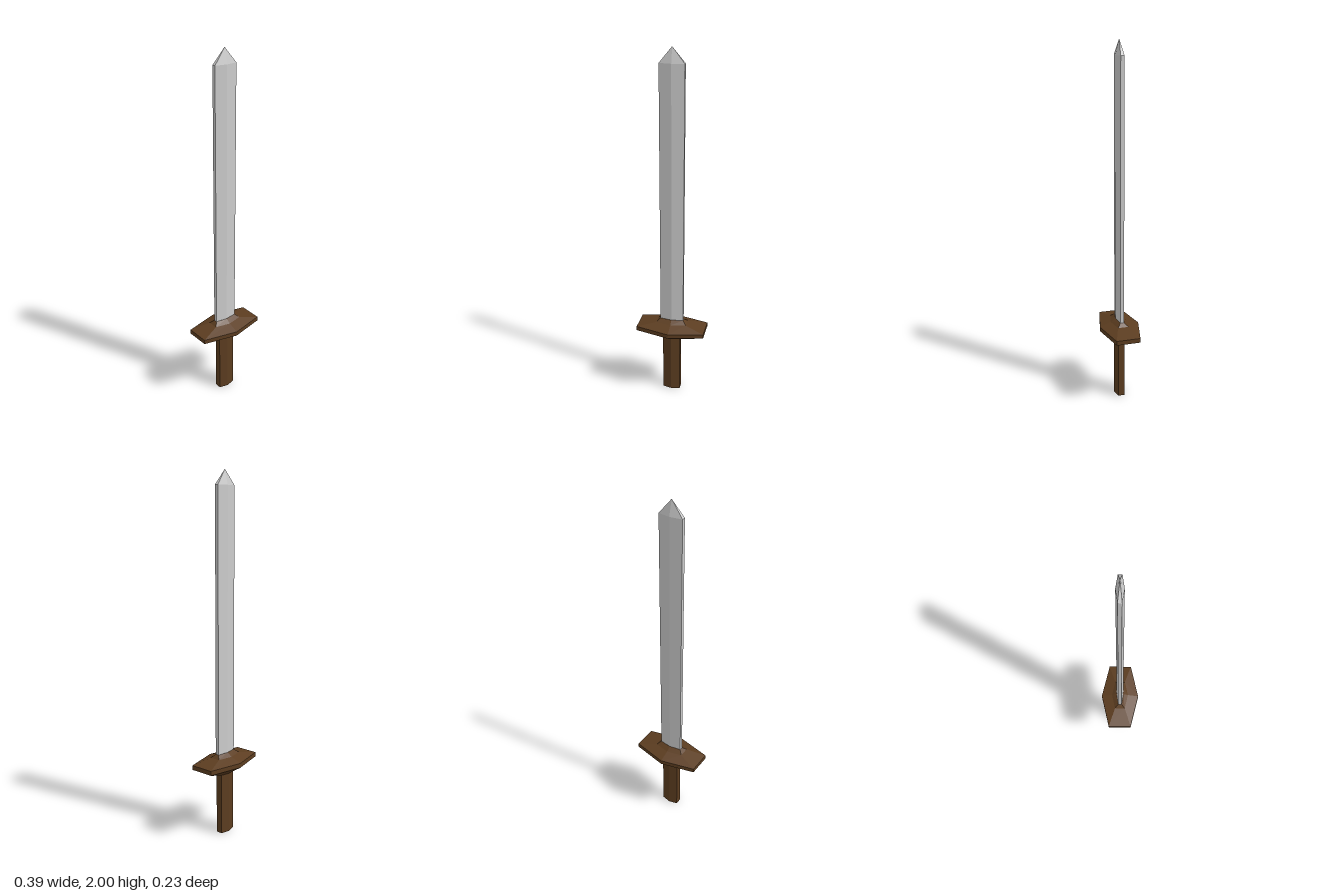
import * as THREE from 'three';

// Lofts six-sided rings, bottom to top: [y, half width, half depth at sides, half depth in middle]
function loftHex(name, rings, color) {
  const pos = [], idx = [], n = 6;
  for (const [y, w, s, m] of rings) {
    pos.push(w, y, -s, 0, y, -m, -w, y, -s, -w, y, s, 0, y, m, w, y, s);
  }
  const last = (rings.length - 1) * n;
  for (let r = 0; r < last; r += n) {
    for (let i = 0; i < n; i++) {
      const a = r + i, b = r + (i + 1) % n;
      idx.push(a, b, b + n, a, b + n, a + n);
    }
  }
  // End caps
  for (let i = 1; i < n - 1; i++) {
    idx.push(0, i + 1, i, last, last + i, last + i + 1);
  }
  const indexed = new THREE.BufferGeometry();
  indexed.setAttribute('position', new THREE.Float32BufferAttribute(pos, 3));
  indexed.setIndex(idx);
  const geometry = indexed.toNonIndexed();
  geometry.computeVertexNormals();
  const mesh = new THREE.Mesh(geometry, new THREE.MeshStandardMaterial({ color, flatShading: true }));
  mesh.name = name;
  return mesh;
}

export function createModel() {
  const model = new THREE.Group();
  model.name = 'sword';
  const wood = 0x5c3d20;

  // Straight grip
  model.add(loftHex('grip', [
    [0, 0.05, 0.018, 0.03],
    [0.35, 0.05, 0.018, 0.03],
  ], wood));

  // Flared crossguard with a collar around the blade
  model.add(loftHex('guard', [
    [0.35, 0.05, 0.018, 0.03],
    [0.405, 0.195, 0.067, 0.113],
    [0.43, 0.195, 0.067, 0.113],
    [0.453, 0.086, 0.03, 0.049],
    [0.472, 0.066, 0.01, 0.021],
  ], wood));

  // Ridged blade ending in a point
  model.add(loftHex('blade', [
    [0.47, 0.066, 0.01, 0.02],
    [1.92, 0.066, 0.01, 0.02],
    [2, 0, 0, 0],
  ], 0xcccccc));

  return model;
}
